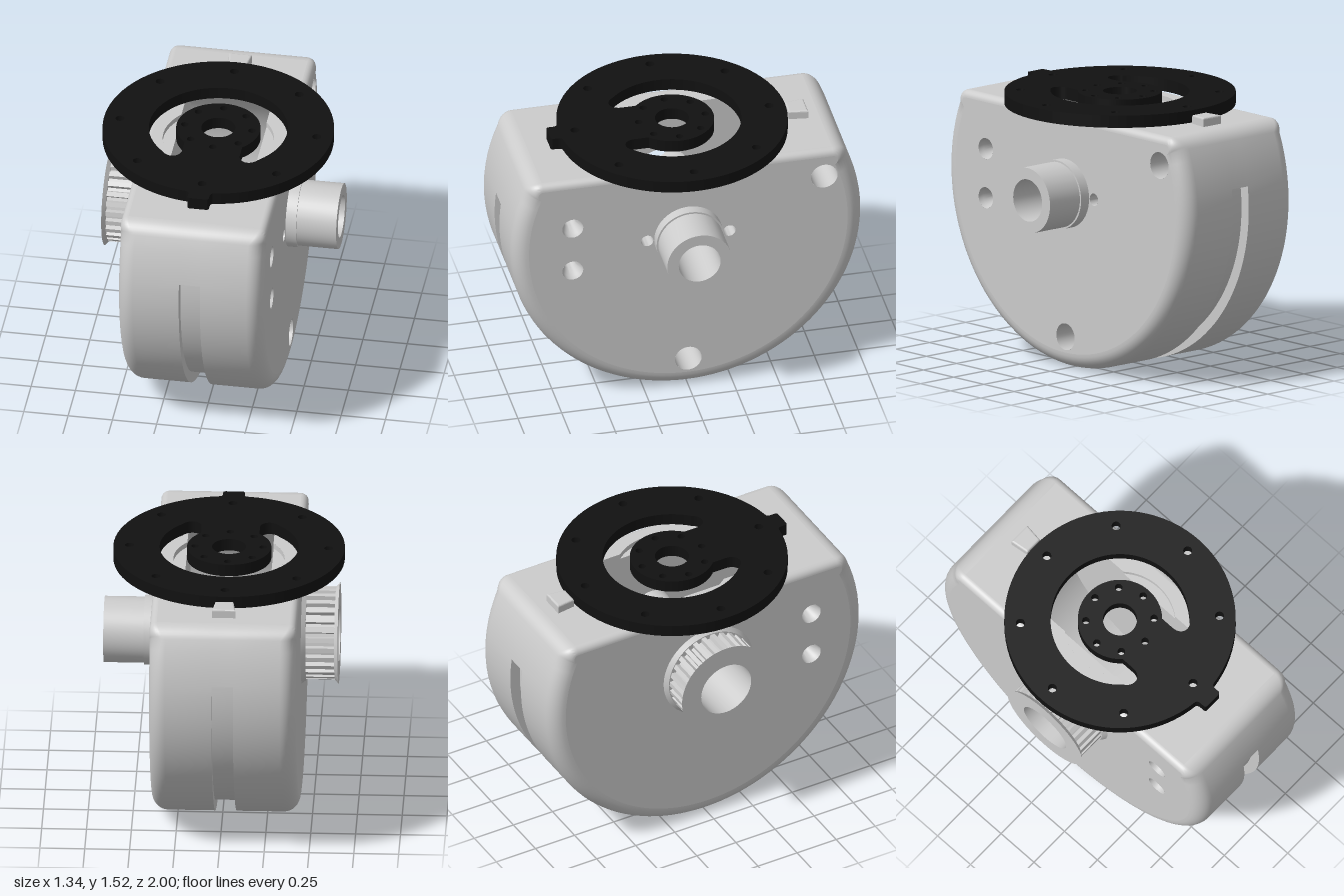
import * as THREE from 'three';
import { mergeVertices, toCreasedNormals } from 'three/addons/utils/BufferGeometryUtils.js';

const HW = 0.41, TOP = 1.45, CY = 1, GX = 0.06;
const grey = new THREE.MeshStandardMaterial({ color: 0xcccccc, side: THREE.DoubleSide });
const black = new THREE.MeshStandardMaterial({ color: 0x111111 });
const V = (x, y, z) => new THREE.Vector3(x, y, z);

// Surface through rows of points; skip(row, column) leaves openings
function grid(rows, closed = false, skip = () => false) {
  const n = rows[0].length, idx = [];
  for (let i = 0; i < rows.length - 1; i++)
    for (let j = 0; j < (closed ? n : n - 1); j++) {
      if (skip(i, j)) continue;
      const k = (j + 1) % n, a = i * n + j, b = i * n + k, c = a + n, d = b + n;
      idx.push(a, b, c, b, d, c);
    }
  const g = new THREE.BufferGeometry().setFromPoints(rows.flat());
  g.setIndex(idx);
  return toCreasedNormals(g, 0.6);
}

// Lathe around the x axis from [radius, x] pairs
function latheX(pts, seg = 48) {
  const g = new THREE.LatheGeometry(pts.map(p => new THREE.Vector2(p[0], p[1])), seg);
  g.rotateZ(-Math.PI / 2);
  g.deleteAttribute('uv');
  return toCreasedNormals(mergeVertices(g), 0.5);
}

const circle = (x, y, r) => new THREE.Path().absarc(x, y, r, 0, Math.PI * 2, true);

export function createModel() {
  const model = new THREE.Group();
  const add = (name, geo, mat = grey, x = 0, y = 0, z = 0) => {
    const m = new THREE.Mesh(geo, mat);
    m.name = name;
    m.position.set(x, y, z);
    model.add(m);
    return m;
  };
  // Flat face at constant x, drawn in (z, y)
  const sideFace = (name, shape, x) => add(name, new THREE.ShapeGeometry(shape, 24).rotateY(-Math.PI / 2), grey, x);
  // Flat face at constant y, drawn in (x, -z)
  const levelFace = (name, shape, y) => add(name, new THREE.ShapeGeometry(shape, 24).rotateX(-Math.PI / 2), grey, 0, y);

  // Body outline: big lower arc, flat top, rounded corners
  const cz = Math.sqrt(0.81 - 0.35 * 0.35), a0 = Math.atan2(0.35, cz), ag = Math.asin(0.13);
  const outline = [];
  const arc = (z, y, r, from, to, n, groove = false) => {
    for (let i = 0; i <= n; i++) {
      const a = from + (to - from) * i / n, c = Math.cos(a), s = Math.sin(a);
      const t = Math.max(0, (s - 0.39) / 0.61);
      outline.push({ z: z + r * c, y: y + r * s, c, s, r: 0.09 - 0.05 * t, groove: groove && i < n });
    }
    return outline;
  };
  arc(cz, 1.35, 0.1, Math.PI / 2, a0, 8); outline.pop();
  arc(0, CY, 1, a0, ag, 4); outline.pop();
  arc(0, CY, 1, ag, -Math.PI - ag, 64, true); outline.pop();
  arc(0, CY, 1, -Math.PI - ag, -Math.PI - a0, 4); outline.pop();
  arc(-cz, 1.35, 0.1, -Math.PI - a0, -1.5 * Math.PI, 8);

  // Shell with rounded side edges
  const K = 8;
  const edgeRow = (s, k) => outline.map(p => {
    const a = k / K * Math.PI / 2, d = p.r * (1 - Math.cos(a));
    return V(s * (HW - p.r * (1 - Math.sin(a))), p.y - p.s * d, p.z - p.c * d);
  });
  const rows = [];
  for (let k = K; k >= 0; k--) rows.push(edgeRow(-1, k));
  for (const x of [-GX, GX]) rows.push(outline.map(p => V(x, p.y, p.z)));
  for (let k = 0; k <= K; k++) rows.push(edgeRow(1, k));
  add('bodyShell', grid(rows, true, (i, j) =>
    (j === outline.length - 1 && i >= K && i <= K + 2) || (i === K + 1 && outline[j].groove)));

  // Groove running around the rim, closed at both ends
  const grooveRow = (x, r) => {
    const row = [];
    for (let i = -1; i <= 65; i++) {
      const t = Math.min(64, Math.max(0, i)) / 64, a = ag - (Math.PI + 2 * ag) * t;
      const q = i < 0 || i > 64 ? 1 : r;
      row.push(V(x, CY + q * Math.sin(a), q * Math.cos(a)));
    }
    return row;
  };
  add('rimGroove', grid([grooveRow(-GX, 1), grooveRow(-GX, 0.94), grooveRow(GX, 0.94), grooveRow(GX, 1)]));

  // Side faces and their holes
  const through = [[0.66, 1.145], [0.66, 0.865]], deep = [[-0.777, 1.284], [0, 0.18]], small = [[0.235, 1], [-0.235, 1]];
  for (const s of [-1, 1]) {
    const face = new THREE.Shape(edgeRow(s, K).map(p => new THREE.Vector2(p.z, p.y)));
    face.holes.push(circle(0, CY, s > 0 ? 0.12 : 0.16));
    through.forEach(h => face.holes.push(circle(...h, 0.06)));
    if (s > 0) {
      deep.forEach(h => face.holes.push(circle(...h, 0.076)));
      small.forEach(h => face.holes.push(circle(...h, 0.035)));
    }
    sideFace(s > 0 ? 'leftFace' : 'rightFace', face, s * HW);
  }
  const bore = (name, list, pts) => list.forEach(([z, y]) => add(name, latheX(pts, 32), grey, 0, y, z));
  bore('throughHole', through, [[0.06, HW], [0.055, 0.38], [0.035, 0.33], [0.035, -0.33], [0.055, -0.38], [0.06, -HW]]);
  bore('screwHole', deep, [[0.076, HW], [0.076, 0], [0.04, 0], [0.04, -0.1], [0, -0.1]]);
  bore('pinHole', small, [[0.035, HW], [0.035, 0.31], [0, 0.31]]);

  // Top face with a slot and a shallow round recess
  const sx = 0.24, R = 0.6, sz = Math.sqrt(R * R - 0.45 * 0.45), rr = 0.31, th = Math.acos(sx / rr), rz = rr * Math.sin(th);
  const top = new THREE.Shape([[-0.37, -cz], [0.37, -cz], [0.37, cz], [-0.37, cz]].map(p => new THREE.Vector2(...p)));
  const slot = new THREE.Path();
  slot.moveTo(sx, -sz).lineTo(sx, -rz).absarc(0, 0, rr, -th, th, false);
  slot.lineTo(sx, sz).lineTo(-sx, sz).lineTo(-sx, rz).absarc(0, 0, rr, Math.PI - th, Math.PI + th, false);
  slot.lineTo(-sx, -sz);
  top.holes.push(slot);
  levelFace('topFace', top, TOP);

  // Concave cavity under the slot
  const b = Math.asin(0.45 / R);
  const cavityRow = x => Array.from({ length: 49 }, (_, i) => {
    const a = b - (Math.PI + 2 * b) * i / 48;
    return V(x, CY + R * Math.sin(a), R * Math.cos(a));
  });
  add('cavityFloor', grid([cavityRow(-sx), cavityRow(sx)]));
  for (const s of [-1, 1]) {
    const wall = new THREE.Shape().absarc(0, CY, R, b, -Math.PI - b, true);
    [[-rz, TOP], [-rz, 1.42], [rz, 1.42], [rz, TOP]].forEach(p => wall.lineTo(...p));
    wall.holes.push(circle(0, CY, s > 0 ? 0.12 : 0.16));
    sideFace('cavityWall', wall, s * sx);
    const mid = s > 0 ? 0 : Math.PI;
    levelFace('recessFloor', new THREE.Shape().absarc(0, 0, rr, mid - th, mid + th, false), 1.42);
    add('recessWall', new THREE.CylinderGeometry(rr, rr, 0.03, 20, 1, true, s * Math.PI / 2 - th, 2 * th), grey, 0, 1.435);
  }

  // Hollow hub on the left, toothed pulley on the right
  add('hub', latheX([[0.12, sx], [0.12, 0.695], [0.185, 0.695], [0.185, 0.47], [0.195, 0.47], [0.195, HW]]), grey, 0, CY);
  add('pulleyOuterFlange', latheX([[0.16, -sx], [0.16, -0.615], [0.283, -0.615], [0.26, -0.595], [0.2, -0.595]]), grey, 0, CY);
  add('pulleyInnerFlange', latheX([[0.2, -0.435], [0.265, -0.435], [0.285, -HW]]), grey, 0, CY);
  const gear = [], N = 28;
  for (let i = 0; i < N; i++)
    [[0, 0.26], [0.45, 0.26], [0.55, 0.235], [0.9, 0.235]].forEach(([f, r]) => {
      const a = (i + f) / N * Math.PI * 2;
      gear.push(new THREE.Vector2(r * Math.cos(a), r * Math.sin(a)));
    });
  const teeth = new THREE.Shape(gear);
  teeth.holes.push(circle(0, 0, 0.2));
  add('pulleyTeeth', new THREE.ExtrudeGeometry(teeth, { depth: 0.16, bevelEnabled: false }).rotateY(Math.PI / 2), grey, -0.595, CY);

  // Black mounting ring: rim with front tab, C-shaped slot and bolt holes
  const tab = Math.asin(0.075 / 0.645), q = -Math.PI / 2;
  const ring = new THREE.Shape().absarc(0, 0, 0.645, q + tab, q - tab + Math.PI * 2, false);
  ring.quadraticCurveTo(-0.06, -0.645, -0.06, -0.67).lineTo(-0.06, -0.69).quadraticCurveTo(-0.06, -0.705, -0.045, -0.705);
  ring.lineTo(0.045, -0.705).quadraticCurveTo(0.06, -0.705, 0.06, -0.69).lineTo(0.06, -0.67);
  ring.quadraticCurveTo(0.06, -0.645, 0.075, -0.6406);
  const e = -0.8, w = 0.1625, d = Math.asin(w / 0.235);
  const cut = new THREE.Path().absarc(0, 0, 0.387, e, Math.PI - e, false);
  cut.bezierCurveTo(-0.235, -0.335, -w, -0.32, -w, -0.25);
  cut.absarc(0, 0, 0.235, q - d + Math.PI * 2, q + d, true);
  cut.lineTo(w, -0.25).bezierCurveTo(w, -0.32, 0.235, -0.335, 0.387 * Math.cos(e), 0.387 * Math.sin(e));
  ring.holes.push(cut, circle(0, 0, 0.095));
  for (let i = 0; i < 8; i++) {
    const c = Math.cos(i * Math.PI / 4), s = Math.sin(i * Math.PI / 4);
    ring.holes.push(circle(0.19 * c, 0.19 * s, 0.021), circle(0.555 * c, 0.555 * s, 0.025));
  }
  add('mountingRing', new THREE.ExtrudeGeometry(ring, { depth: 0.07, bevelEnabled: false, curveSegments: 40 })
    .rotateX(-Math.PI / 2), black, 0, 1.453);

  // Small rounded locating block behind the ring
  const block = new THREE.Shape([[-0.043, -0.045], [0.043, -0.045], [0.055, 0.045], [-0.055, 0.045]].map(p => new THREE.Vector2(...p)));
  add('locatingBlock', new THREE.ExtrudeGeometry(block, { depth: 0.05, bevelSize: 0.01, bevelThickness: 0.01, bevelSegments: 3 })
    .rotateX(-Math.PI / 2), grey, 0, 1.44, -0.71);

  model.position.x = -0.025;
  const root = new THREE.Group();
  root.name = 'rotaryJoint';
  model.name = 'jointAssembly';
  root.add(model);
  return root;
}
